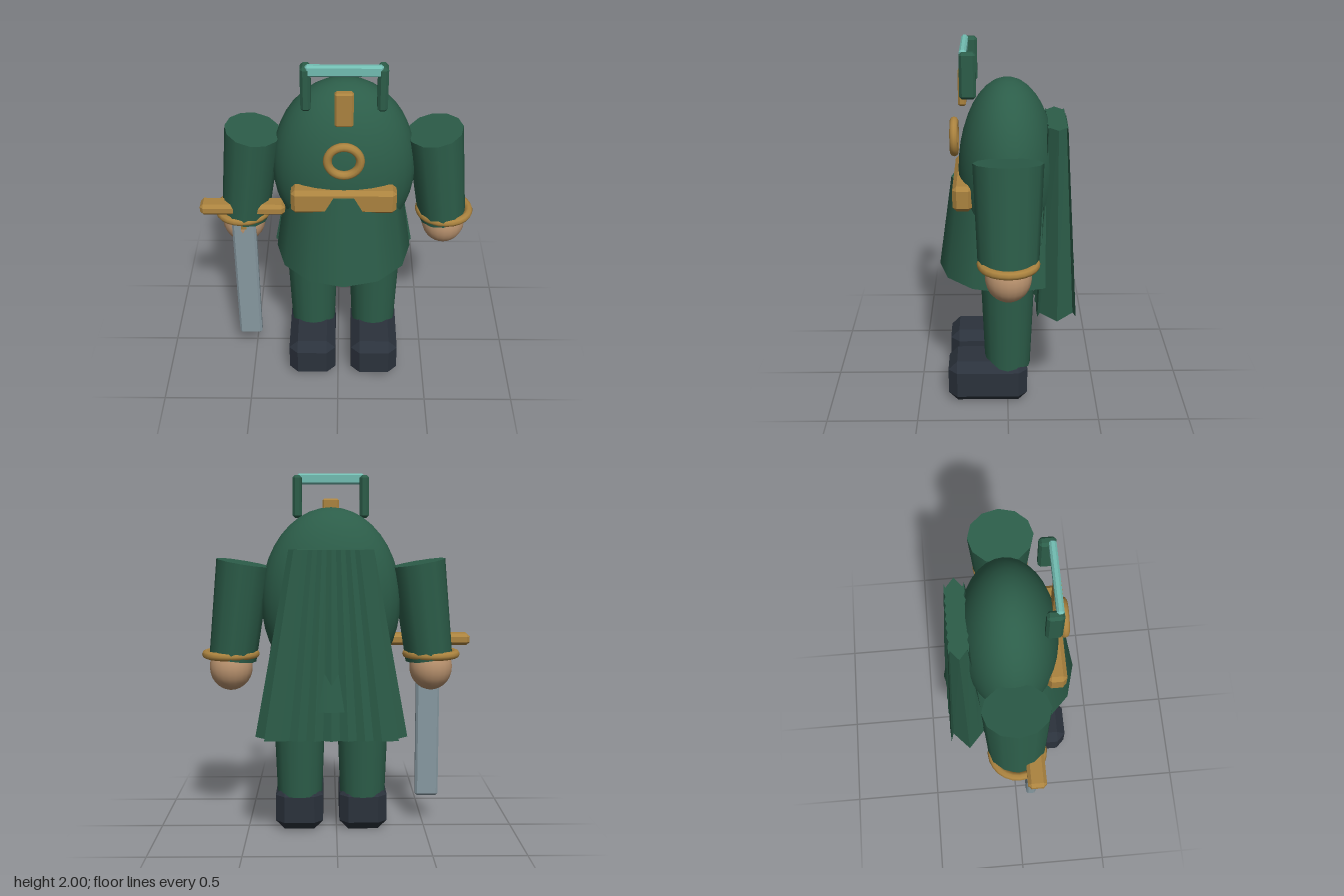
import * as THREE from 'three';
import { ConvexGeometry } from 'three/addons/geometries/ConvexGeometry.js';

const paint = (name, color) => {
  const m = new THREE.MeshStandardMaterial({ color });
  m.name = name;
  return m;
};

// Box with every edge cut by a flat chamfer
function chamferBox(w, h, d, c) {
  const pts = [];
  for (const sx of [-1, 1]) for (const sy of [-1, 1]) for (const sz of [-1, 1]) {
    const x = w / 2, y = h / 2, z = d / 2;
    pts.push(new THREE.Vector3(sx * x, sy * (y - c), sz * (z - c)));
    pts.push(new THREE.Vector3(sx * (x - c), sy * y, sz * (z - c)));
    pts.push(new THREE.Vector3(sx * (x - c), sy * (y - c), sz * z));
  }
  return new ConvexGeometry(pts);
}

// Flattened, flaring tube with zigzag pleats on its back and front
function pleatedCape() {
  const unit = [[1, 0]];
  const n = 16;
  for (const side of [-1, 1]) {
    for (let i = 0; i <= n; i++) {
      const x = -side * 0.87 * (2 * i / n - 1) * -1;
      const bulge = 1 - 0.1 * (x / 0.87) ** 2;
      unit.push([side < 0 ? -x : -x, side * bulge * (i % 2 ? 0.84 : 1)]);
    }
    if (side < 0) unit.push([-1, 0]);
  }
  // sort around the centre so the loop always runs anticlockwise from above
  unit.sort((a, b) => Math.atan2(-a[1], a[0]) - Math.atan2(-b[1], b[0]));
  const pos = [], idx = [], count = unit.length;
  const rows = [{ y: 0.585, rx: 0.41, rz: 0.115 }, { y: 1.59, rx: 0.225, rz: 0.057 }];
  for (const { y, rx, rz } of rows) for (const [x, z] of unit) pos.push(x * rx, y, z * rz);
  pos.push(0, rows[0].y, 0, 0, rows[1].y, 0);
  for (let i = 0; i < count; i++) {
    const j = (i + 1) % count;
    idx.push(i, j, count + j, i, count + j, count + i);
    idx.push(2 * count, j, i, 2 * count + 1, count + i, count + j);
  }
  const g = new THREE.BufferGeometry();
  g.setAttribute('position', new THREE.Float32BufferAttribute(pos, 3));
  g.setIndex(idx);
  const flat = g.toNonIndexed();
  flat.computeVertexNormals();
  return flat;
}

export function createModel() {
  const green = paint('green cloth', 0x2c5d49);
  const gold = paint('brass', 0xab833f);
  const skin = paint('skin', 0xba936f);
  const dark = paint('boot leather', 0x2b323c);
  const steel = paint('steel', 0x8799a1);
  const teal = paint('teal', 0x72bdb2);

  const root = new THREE.Group();
  root.name = 'figure';
  const figure = new THREE.Group();
  figure.name = 'body';
  figure.position.x = 0.03;
  root.add(figure);

  const add = (name, geo, mat, x, y, z, parent = figure) => {
    const m = new THREE.Mesh(geo, mat);
    m.name = name;
    m.position.set(x, y, z);
    parent.add(m);
    return m;
  };

  // Torso, coat skirt and cape
  add('torso', new THREE.SphereGeometry(1, 32, 20), green, 0, 1.3, 0).scale.set(0.387, 0.51, 0.265);
  add('coat', new THREE.CylinderGeometry(0.305, 0.38, 0.525, 12), green, 0, 1.003, 0);
  add('cape', pleatedCape(), green, 0, 0, -0.262);

  // Chest and belt fittings
  add('belt', chamferBox(0.555, 0.14, 0.105, 0.022), gold, 0, 1.23, 0.238);
  add('chestRing', new THREE.TorusGeometry(0.084, 0.023, 10, 28), gold, 0, 1.49, 0.285);

  // Crest and handle-like frame above the head
  add('crest', chamferBox(0.095, 0.19, 0.042, 0.01), gold, 0, 1.765, 0.238);
  add('frameBar', chamferBox(0.38, 0.06, 0.036, 0.01), teal, 0, 1.97, 0.226);

  for (const s of [-1, 1]) {
    const side = s > 0 ? 'left' : 'right';
    add(side + 'FramePost', chamferBox(0.052, 0.24, 0.085, 0.014), green, s * 0.19, 1.87, 0.203);

    // Legs and boots
    add(side + 'Leg', new THREE.CylinderGeometry(0.15, 0.127, 0.6, 16), green, s * 0.178, 0.5, 0);
    add(side + 'Boot', chamferBox(0.268, 0.25, 0.445, 0.05), dark, s * 0.18, 0.125, 0.112);

    // Sleeve, slightly flattened sideways and tilted outward
    const arm = new THREE.Group();
    arm.name = side + 'Arm';
    arm.position.set(s * 0.516, 1.243, 0);
    arm.scale.x = 0.85;
    figure.add(arm);
    add(side + 'Sleeve', new THREE.CylinderGeometry(0.177, 0.155, 0.535, 12), green, 0, 0, 0, arm)
      .rotation.z = s * 0.145;
    add(side + 'Cuff', new THREE.TorusGeometry(0.138, 0.023, 8, 24), gold, s * 0.56, 1.0, 0)
      .rotation.x = Math.PI / 2;
    add(side + 'Hand', new THREE.SphereGeometry(0.12, 20, 14), skin, s * 0.56, 0.925, 0).scale.y = 1.08;
  }

  // Sword held point down in the right hand
  const sword = new THREE.Group();
  sword.name = 'sword';
  sword.position.set(-0.523, 0, 0.088);
  root.add(sword);
  add('blade', chamferBox(0.132, 0.83, 0.06, 0.012), steel, 0, 0.57, 0, sword);
  add('guard', chamferBox(0.465, 0.066, 0.1, 0.018), gold, 0, 1.071, 0, sword);
  add('grip', new THREE.CylinderGeometry(0.035, 0.035, 0.2, 10), gold, 0, 1.035, 0, sword);

  return root;
}
